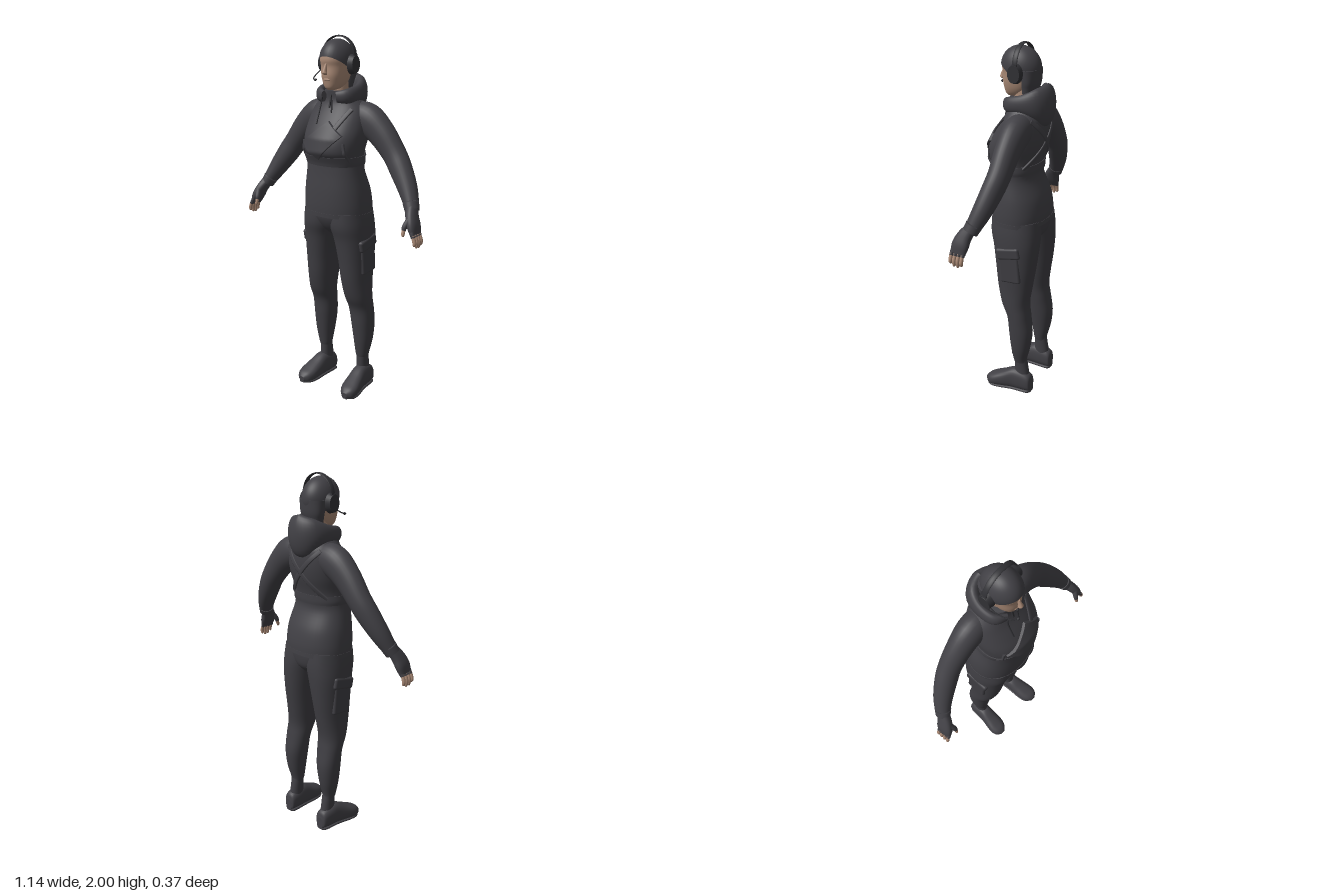
import * as THREE from 'three';
import { RoundedBoxGeometry } from 'three/addons/geometries/RoundedBoxGeometry.js';

const paint = (name, color, side = THREE.FrontSide) => {
  const m = new THREE.MeshStandardMaterial({ color, side });
  m.name = name;
  return m;
};

// Skin through elliptical sections [x, y, z, radiusU, radiusV], smoothed along the path.
// ref sets the V direction; axis, if given, keeps every section square to it (stations run along it).
function loft(stations, { ref = [0, 0, 1], axis = null, n = 28, per = 5, power = 2 } = {}) {
  const centre = new THREE.CatmullRomCurve3(stations.map(s => new THREE.Vector3(s[0], s[1], s[2])), false, 'catmullrom', 0.5);
  const radii = new THREE.CatmullRomCurve3(stations.map(s => new THREE.Vector3(s[3], s[4], 0)), false, 'catmullrom', 0.5);
  const rows = (stations.length - 1) * per, refV = new THREE.Vector3(...ref);
  const pos = [], idx = [];
  const spow = v => Math.sign(v) * Math.pow(Math.abs(v), 2 / power);
  for (let i = 0; i <= rows; i++) {
    const c = centre.getPoint(i / rows), r = radii.getPoint(i / rows);
    const t = axis ? new THREE.Vector3(...axis) : centre.getTangent(i / rows);
    const u = t.clone().cross(refV).normalize(), v = u.clone().cross(t);
    for (let j = 0; j < n; j++) {
      const a = j / n * Math.PI * 2;
      const p = c.clone().addScaledVector(u, r.x * spow(Math.cos(a))).addScaledVector(v, r.y * spow(Math.sin(a)));
      pos.push(p.x, p.y, p.z);
    }
  }
  for (let i = 0; i < rows; i++) for (let j = 0; j < n; j++) {
    const a = i * n + j, b = i * n + (j + 1) % n;
    idx.push(a, a + n, b, b, a + n, b + n);
  }
  // end caps with their own vertices
  for (const row of [0, rows]) {
    const base = pos.length / 3, c = centre.getPoint(row / rows);
    for (let k = row * n * 3; k < (row + 1) * n * 3; k++) pos.push(pos[k]);
    pos.push(c.x, c.y, c.z);
    for (let j = 0; j < n; j++) {
      const a = base + j, b = base + (j + 1) % n;
      row ? idx.push(base + n, b, a) : idx.push(base + n, a, b);
    }
  }
  const g = new THREE.BufferGeometry();
  g.setAttribute('position', new THREE.Float32BufferAttribute(pos, 3));
  g.setIndex(idx);
  g.computeVertexNormals();
  return g;
}

// Upright form from rows [y, xMin, xMax, zBack, zFront], lowest first; s mirrors it
const column = (rows, s = 1) => loft(rows.map(([y, a, b, k, f]) =>
  [s * (a + b) / 2, y, (k + f) / 2, (b - a) / 2, (f - k) / 2]), { axis: [0, 1, 0], n: 40, power: 2.2 });
const centred = rows => column(rows.map(([y, w, k, f]) => [y, -w, w, k, f]));

const TORSO = [[1.055, .194, -.16, .14], [1.12, .194, -.16, .145], [1.2, .186, -.145, .145], [1.3, .167, -.105, .14],
  [1.36, .162, -.108, .143], [1.41, .165, -.118, .172], [1.48, .175, -.138, .16], [1.55, .174, -.147, .122],
  [1.62, .16, -.142, .078], [1.67, .12, -.12, .058], [1.72, .075, -.09, .06]];

// Point just above the jacket front (side 1) or back (side -1)
function onTorso(x, y, side) {
  let i = 0;
  while (i < TORSO.length - 2 && TORSO[i + 1][0] < y) i++;
  const k = (y - TORSO[i][0]) / (TORSO[i + 1][0] - TORSO[i][0]);
  const [w, b, f] = [1, 2, 3].map(q => TORSO[i][q] + k * (TORSO[i + 1][q] - TORSO[i][q]));
  const d = Math.pow(Math.max(0, 1 - Math.pow(Math.abs(x / w), 2.2)), 1 / 2.2);
  return [x, y, (b + f) / 2 + side * ((f - b) / 2 * d + .002)];
}
function strap(x0, y0, x1, y1, side, width) {
  const st = [];
  for (let i = 0; i <= 6; i++) st.push([...onTorso(x0 + (x1 - x0) * i / 6, y0 + (y1 - y0) * i / 6, side), width, .006]);
  return loft(st, { n: 12, per: 3, power: 4 });
}
// Padded four-cornered panel that follows the chest; corners run anticlockwise
function chestPanel([A, B, C, D], thick) {
  const g = new THREE.BoxGeometry(1, 1, 1, 12, 12, 1), p = g.attributes.position;
  for (let i = 0; i < p.count; i++) {
    const u = p.getX(i) + .5, v = p.getY(i) + .5;
    const [x, y] = [0, 1].map(k => (A[k] * (1 - u) + B[k] * u) * (1 - v) + (D[k] * (1 - u) + C[k] * u) * v);
    p.setXYZ(i, x, y, onTorso(x, y, 1)[2] + (p.getZ(i) > 0 ? thick : -.015));
  }
  g.computeVertexNormals();
  return g;
}

export function createModel() {
  const model = new THREE.Group();
  const cloth = paint('charcoal cloth', 0x424146), trouser = paint('trouser cloth', 0x3f3e43);
  const knit = paint('knitted cap', 0x414045, THREE.DoubleSide);
  const dark = paint('black plastic', 0x313135), skin = paint('skin', 0xaa8a76);
  const add = (name, geo, mat, p = [0, 0, 0], r = [0, 0, 0], sc = [1, 1, 1]) => {
    const m = new THREE.Mesh(geo, mat);
    m.name = name;
    m.position.set(...p); m.rotation.set(...r); m.scale.set(...sc);
    model.add(m);
  };

  // jacket, hem and chest harness
  add('jacket', centred(TORSO), cloth);
  add('jacketHem', centred([[1.053, .196, -.162, .142], [1.075, .196, -.162, .144]]), cloth);
  add('harnessBand', centred([[1.335, .165, -.111, .146], [1.355, .168, -.114, .152], [1.385, .167, -.116, .165]]), cloth);
  for (const s of [-1, 1]) {
    add('backStrap', strap(.115 * s, 1.63, -.125 * s, 1.37, -1, .013), cloth);
    add('sideStrap', strap(.125 * s, 1.46, .14 * s, 1.36, 1, .01), cloth);
  }
  add('frontStrap', strap(.12, 1.63, .07, 1.53, 1, .013), cloth);
  add('chestPouch', chestPanel([[-.12, 1.45], [-.005, 1.37], [.12, 1.5], [.03, 1.57]], .013), cloth);

  // hood lying around the neck
  const half = [[.04, 1.69, .068, .014, .028], [.09, 1.695, .03, .025, .04], [.098, 1.705, -.05, .028, .05], [.066, 1.705, -.115, .038, .085]];
  const flip = half.map(([x, ...q]) => [-x, ...q]).reverse();
  add('hood', loft([...half, [0, 1.695, -.137, .046, .112], ...flip], { ref: [0, 1, 0] }), cloth);
  add('zip', new THREE.BoxGeometry(.008, .07, .008), dark, [0, 1.665, .066], [-.2, 0, 0]);
  for (const [x, y] of [[-.05, 1.55], [.022, 1.61]])
    add('drawstring', loft([[x * .8, 1.69, .08, .004, .004], [x, 1.65, .08, .004, .004], [...onTorso(x, y, 1), .004, .004]], { n: 8 }), dark);

  // neck, face and cap
  add('neck', centred([[1.64, .055, -.08, .035], [1.72, .05, -.075, .035], [1.8, .05, -.075, .03]]), skin);
  add('face', centred([[1.725, .022, .03, .075], [1.738, .042, -.02, .087], [1.765, .058, -.055, .094], [1.8, .068, -.078, .1],
    [1.845, .075, -.09, .098], [1.88, .077, -.094, .104], [1.93, .07, -.085, .095]]), skin);
  add('nose', loft([[0, 1.803, .102, .008, .006], [0, 1.812, .112, .014, .012], [0, 1.825, .11, .01, .013], [0, 1.86, .098, .006, .008]],
    { axis: [0, 1, 0], n: 14 }), skin);
  add('mouth', new THREE.SphereGeometry(1, 16, 10), skin, [0, 1.779, .095], [0, 0, 0], [.022, .007, .006]);
  add('cap', new THREE.SphereGeometry(1, 36, 22, 0, Math.PI * 2, 0, Math.PI * .62).scale(.086, .105, .11), knit, [0, 1.876, .002], [-.55, 0, 0]);
  add('capNape', centred([[1.73, .054, -.082, -.012], [1.775, .066, -.092, -.012], [1.81, .075, -.1, -.01], [1.87, .08, -.104, 0]]), knit);

  // headset
  add('headband', new THREE.TorusGeometry(.103, .004, 10, 40, Math.PI), dark, [0, 1.893, -.012], [0, 0, 0], [1, 1, 3.6]);
  const cup = new THREE.CylinderGeometry(.034, .04, .03, 28).rotateZ(-Math.PI / 2);
  for (const s of [-1, 1]) {
    add('bandArm', new THREE.BoxGeometry(.008, .06, .026), dark, [.105 * s, 1.875, -.012]);
    add('earCup', cup, dark, [.097 * s, 1.855, -.008], [0, s < 0 ? Math.PI : 0, 0], [1, 1.3, 1]);
  }
  add('microphoneBoom', loft([[-.1, 1.83, 0, .003, .003], [-.095, 1.8, .06, .003, .003], [-.07, 1.785, .115, .003, .003],
    [-.045, 1.78, .136, .003, .003]], { ref: [0, 1, 0], n: 8 }), dark);
  add('microphone', new THREE.SphereGeometry(1, 12, 8), dark, [-.042, 1.78, .136], [0, 0, 0], [.009, .007, .007]);

  // trouser seat
  add('trouserSeat', centred([[.945, .05, -.11, .06], [.985, .13, -.142, .1], [1.04, .188, -.153, .126], [1.1, .188, -.153, .13]]), trouser);

  for (const s of [-1, 1]) {
    const mir = st => st.map(([x, ...q]) => [s * x, ...q]);

    // sleeve and cuff
    add('sleeve', loft(mir([[.08, 1.59, -.05, .075, .068], [.165, 1.57, -.05, .088, .072], [.25, 1.505, -.05, .077, .064],
      [.33, 1.41, -.048, .066, .058], [.38, 1.34, -.035, .063, .056], [.44, 1.25, -.01, .052, .05], [.49, 1.165, .022, .036, .04]])), cloth);
    add('cuff', loft(mir([[.478, 1.185, .016, .041, .044], [.496, 1.15, .03, .036, .041]])), cloth);

    // fingerless glove, fingers and thumb
    add('glove', loft(mir([[.49, 1.17, .028, .028, .03], [.512, 1.125, .055, .027, .04], [.53, 1.085, .068, .025, .046],
      [.545, 1.045, .075, .016, .042]]), { power: 2.5 }), cloth);
    [0, 1, 2, 3].forEach(i => {
      const z = .043 + i * .021, tip = [.985, .976, .978, .99][i];
      add('gloveFinger', loft(mir([[.54, 1.06, z, .012, .011], [.553, 1.033, z + .002, .011, .011]]), { n: 12 }), cloth);
      add('finger', loft(mir([[.55, 1.045, z + .002, .009, .009], [.562, 1.01, z + .003, .01, .01],
        [.561, tip + .006, z + .003, .008, .008], [.559, tip, z + .003, .003, .003]]), { n: 12 }), skin);
    });
    add('gloveThumb', loft(mir([[.515, 1.12, .085, .016, .016], [.503, 1.085, .108, .014, .014], [.5, 1.066, .115, .011, .011]]), { n: 14 }), cloth);
    add('thumb', loft(mir([[.5, 1.072, .113, .01, .01], [.501, 1.045, .121, .009, .009], [.503, 1.034, .123, .004, .004]]), { n: 12 }), skin);

    // trouser leg and ankle
    add('trouserLeg', column([[.195, .1, .167, -.098, -.025], [.22, .095, .173, -.1, -.02], [.3, .084, .189, -.12, -.008],
      [.4, .07, .198, -.13, .003], [.5, .058, .201, -.116, .014], [.58, .05, .2, -.107, .05], [.68, .038, .197, -.12, .075],
      [.8, .023, .2, -.138, .09], [.92, 0, .203, -.15, .106], [1, -.02, .199, -.152, .125], [1.08, -.02, .188, -.145, .125]], s), trouser);
    add('ankle', column([[.08, .098, .168, -.118, -.02], [.14, .101, .164, -.11, -.026], [.215, .101, .164, -.097, -.027]], s), trouser);

    // cargo pocket with flap
    add('cargoPocket', new RoundedBoxGeometry(.03, .18, .12, 3, .013), trouser, [.187 * s, .82, -.022], [.08, 0, 0]);
    add('pocketFlap', new RoundedBoxGeometry(.036, .065, .14, 3, .014), trouser, [.19 * s, .905, -.015], [.2, 0, 0]);

    // shoe and sole
    add('shoe', loft(mir([[.135, .042, -.134, .022, .034], [.136, .059, -.122, .038, .052], [.138, .069, -.07, .044, .064],
      [.141, .07, -.02, .045, .066], [.148, .055, .04, .051, .051], [.154, .043, .09, .053, .039], [.157, .035, .125, .041, .03],
      [.157, .031, .146, .016, .014]]), { ref: [0, 1, 0], axis: [0, 0, 1], power: 2.5 }), cloth);
    add('sole', loft(mir([[.135, .01, -.132, .022, .01], [.136, .01, -.112, .039, .01], [.141, .01, -.02, .041, .01],
      [.15, .01, .06, .05, .01], [.155, .011, .11, .045, .01], [.157, .016, .144, .016, .009]]), { ref: [0, 1, 0], axis: [0, 0, 1], power: 3 }), cloth);
  }
  return model;
}
